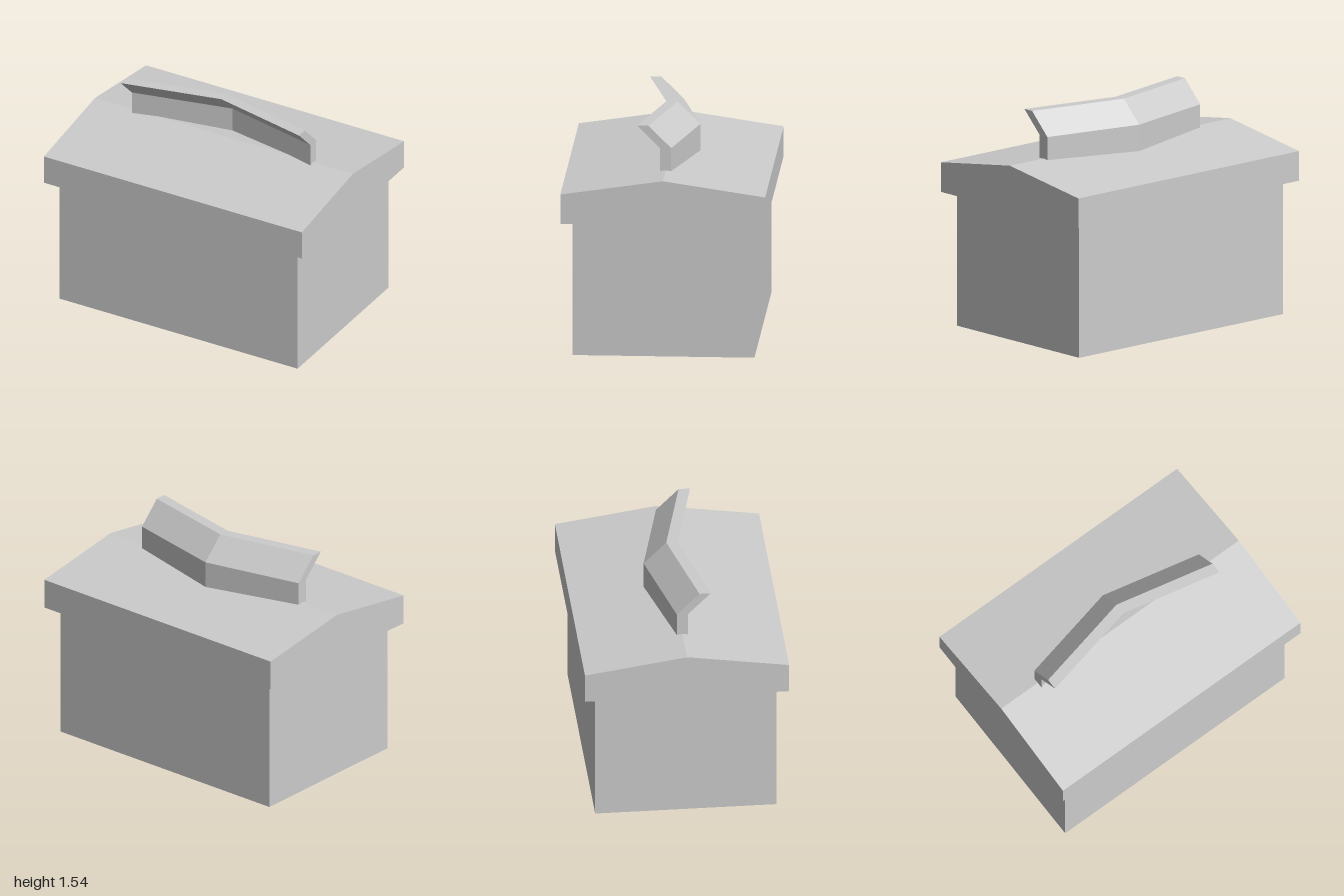
import * as THREE from 'three';

const material = new THREE.MeshStandardMaterial({ color: 0xcccccc, flatShading: true });

// Extrudes a [z, y] profile along x, centred on x = 0.
function extrudeAlongX(profile, length, steps = 1) {
  const shape = new THREE.Shape(profile.map(([z, y]) => new THREE.Vector2(z, y)));
  const geometry = new THREE.ExtrudeGeometry(shape, { depth: length, steps, bevelEnabled: false });
  geometry.translate(0, 0, -length / 2);
  geometry.rotateY(-Math.PI / 2);
  return geometry;
}

function addPart(group, name, geometry) {
  const mesh = new THREE.Mesh(geometry, material);
  mesh.name = name;
  group.add(mesh);
}

export function createModel() {
  const group = new THREE.Group();
  group.name = 'boxWithLid';

  // Plain rectangular body
  const body = new THREE.BoxGeometry(1.846, 0.925, 1.226);
  body.translate(0, 0.4625, 0);
  addPart(group, 'body', body);

  // Overhanging lid with a shallow ridge
  const lid = extrudeAlongX(
    [[-0.69, 0.925], [0.69, 0.925], [0.69, 1.13], [0, 1.232], [-0.69, 1.13]], 2);
  addPart(group, 'lid', lid);

  // Handle: upright strip with a forward-leaning lip, bent back at the middle
  const halfLength = 0.692, bend = 0.154;
  const handle = extrudeAlongX(
    [[-0.038, 1.18], [0.039, 1.18], [0.039, 1.386], [0.192, 1.539], [0.115, 1.539], [-0.038, 1.386]],
    halfLength * 2, 2);
  const p = handle.attributes.position;
  for (let i = 0; i < p.count; i++) {
    p.setZ(i, p.getZ(i) - bend * (1 - Math.abs(p.getX(i)) / halfLength));
  }
  handle.computeVertexNormals();
  addPart(group, 'handle', handle);

  return group;
}
